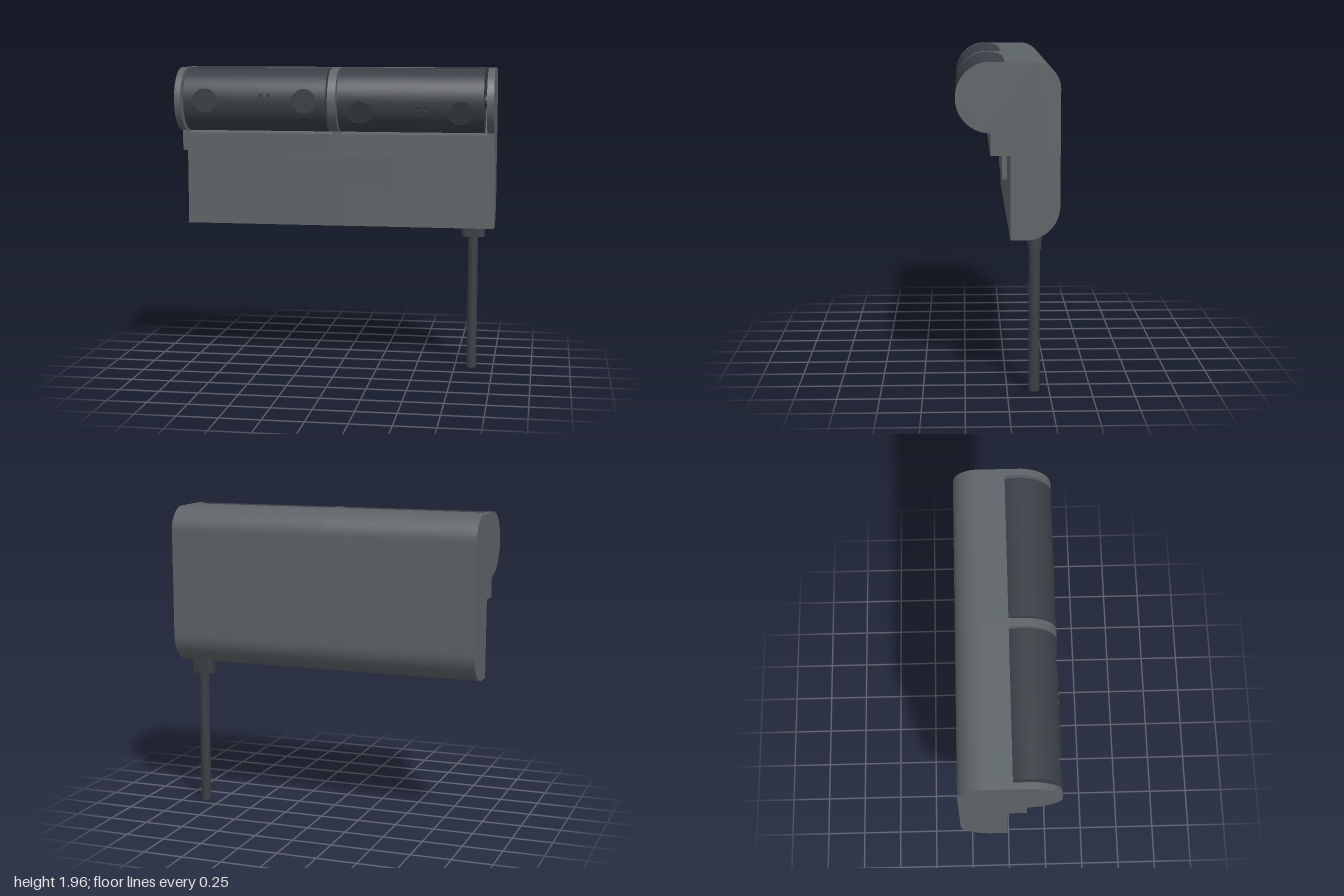
import * as THREE from 'three';
import { toCreasedNormals } from 'three/addons/utils/BufferGeometryUtils.js';

const R = 0.2, AXIS_Y = 1.76, AXIS_Z = 0.1;   // drum radius and axis
const POCKET_R = 0.217;

export function createModel() {
  const casing = new THREE.MeshStandardMaterial({ name: 'casing grey', color: 0x5d6467 });
  const dark = new THREE.MeshStandardMaterial({ name: 'dark grey', color: 0x3a3f45 });
  const model = new THREE.Group();

  const add = (parent, name, geometry, material, x = 0, y = 0, z = 0) => {
    const mesh = new THREE.Mesh(geometry, material);
    mesh.name = name;
    mesh.position.set(x, y, z);
    parent.add(mesh);
    return mesh;
  };

  // Casing side outline, drawn with u = -z; the open one has the drum pocket cut out
  const outline = (open) => {
    const s = new THREE.Shape();
    s.moveTo(open ? -AXIS_Z + Math.sqrt(POCKET_R ** 2 - R ** 2) : -AXIS_Z, 1.96);
    s.lineTo(0.15, 1.96);
    s.absarc(0.15, 1.81, 0.15, Math.PI / 2, 0, true);
    s.absarc(0.1, 1.14, 0.2, 0, -Math.PI / 2, true);
    s.lineTo(0.015, 0.94);
    s.lineTo(0.015, 1.43);
    s.lineTo(-AXIS_Z, 1.43);
    if (open) s.absarc(-AXIS_Z, AXIS_Y, POCKET_R, -Math.PI / 2, Math.asin(R / POCKET_R), false);
    else s.absarc(-AXIS_Z, AXIS_Y, R, -Math.PI / 2, -Math.PI * 1.5, true);
    return s;
  };
  const slab = (name, x0, x1, open) => {
    const g = new THREE.ExtrudeGeometry(outline(open), { depth: x1 - x0, bevelEnabled: false, curveSegments: 32 });
    g.rotateY(Math.PI / 2);
    add(model, name, toCreasedNormals(g, 0.5), casing, x0);
  };
  slab('rightEndCheek', -1, -0.96, false);
  slab('rightCasing', -0.96, -0.027, true);
  slab('centreDivider', -0.027, 0.025, false);
  slab('leftCasing', 0.025, 0.957, true);
  slab('leftEndCheek', 0.957, 1, false);

  add(model, 'frontPlate', new THREE.BoxGeometry(0.67, 0.22, 0.04), casing, 0, 1.3, -0.005);

  // Hinge rod on which both drums turn
  const rod = new THREE.CylinderGeometry(0.04, 0.04, 1.94, 32).rotateZ(Math.PI / 2);
  add(model, 'hingeRod', rod, dark, 0, AXIS_Y, AXIS_Z);

  // Surface through rows of points; 'round' takes normals from the drum axis
  const sheet = (rows, round) => {
    const n = rows[0].length, index = [];
    for (let r = 0; r < rows.length - 1; r++) {
      for (let i = 0; i < n - 1; i++) {
        const a = r * n + i, d = a + n;
        index.push(a, a + 1, d + 1, a, d + 1, d);
      }
    }
    const points = rows.flat();
    const g = new THREE.BufferGeometry().setFromPoints(points);
    g.setIndex(index);
    if (round) {
      const normals = points.flatMap((p) => [0, p.y / R, p.z / R]);
      g.setAttribute('normal', new THREE.Float32BufferAttribute(normals, 3));
    } else g.computeVertexNormals();
    return g;
  };
  const onDrum = (x, y) => new THREE.Vector3(x, y, Math.sqrt(R * R - y * y));

  // Rectangular area of the drum front with a round flat-bottomed recess
  const recess = (drum, name, [x0, x1, y0, y1], cx, cy, r, floorZ) => {
    const corners = [[x0, y0], [x1, y0], [x1, y1], [x0, y1], [x0, y0]];
    const edge = [];
    for (let k = 0; k < 4; k++) {
      for (let i = 0; i < 12; i++) {
        edge.push([0, 1].map((c) => THREE.MathUtils.lerp(corners[k][c], corners[k + 1][c], i / 12)));
      }
    }
    edge.push(corners[4]);
    const rim = edge.map(([x, y]) => {
      const a = Math.atan2(y - cy, x - cx);
      return [cx + r * Math.cos(a), cy + r * Math.sin(a)];
    });
    const rows = [];
    for (let k = 0; k <= 8; k++) {
      rows.push(edge.map(([x, y], i) => onDrum(
        THREE.MathUtils.lerp(x, rim[i][0], k / 8), THREE.MathUtils.lerp(y, rim[i][1], k / 8))));
    }
    add(drum, name + 'Surround', sheet(rows, true), dark);
    const wall = [rim.map(([x, y]) => onDrum(x, y)), rim.map(([x, y]) => new THREE.Vector3(x, y, floorZ))];
    add(drum, name + 'Wall', sheet(wall, false), dark);
    add(drum, name + 'Floor', new THREE.CircleGeometry(r, 48), dark, cx, cy, floorZ);
  };

  // One drum: back shell, end caps, two large recesses and three small holes
  const makeDrum = (name, x, tilt) => {
    const drum = new THREE.Group();
    drum.name = name;
    drum.position.set(x, AXIS_Y, AXIS_Z);
    drum.rotation.x = tilt;
    model.add(drum);
    const half = 0.452, band = 0.1;

    const rows = [];
    for (let i = 0; i <= 60; i++) {
      const t = Math.PI / 6 + (i / 60) * Math.PI * 5 / 3;
      rows.push([-half, half].map((px) => new THREE.Vector3(px, R * Math.sin(t), R * Math.cos(t))));
    }
    add(drum, 'drumShell', sheet(rows, true), dark);

    for (const s of [-1, 1]) {
      const cap = new THREE.CircleGeometry(R, 72).rotateY(s * Math.PI / 2);
      add(drum, 'drumEnd', cap, dark, s * half);
      const cx = s * 0.315;
      recess(drum, 'lens', [cx - 0.1, cx + 0.1, -band, band], cx, 0, 0.075, 0.183);
    }
    // Plain strips between the recessed areas
    for (const [a, b] of [[-half, -0.415], [-0.215, 0.02], [0.12, 0.215], [0.415, half]]) {
      const strip = [];
      for (let i = 0; i <= 12; i++) {
        const y = band * (i / 6 - 1);
        strip.push([onDrum(a, y), onDrum(b, y)]);
      }
      add(drum, 'frontStrip', sheet(strip, true), dark);
    }
    recess(drum, 'upperHole', [0.02, 0.07, 0.006, band], 0.045, 0.032, 0.014, 0.18);
    recess(drum, 'upperHole', [0.07, 0.12, 0.006, band], 0.095, 0.032, 0.014, 0.18);
    recess(drum, 'lowerHole', [0.02, 0.12, -band, 0.006], 0.07, -0.012, 0.007, 0.18);
  };
  makeDrum('rightDrum', -0.489, 0);
  makeDrum('leftDrum', 0.487, 0.37);

  // Cable with its rounded strain relief under the casing
  const w = 0.075, d = 0.04, c = 0.03;
  const relief = new THREE.Shape();
  relief.absarc(w - c, d - c, c, 0, Math.PI / 2);
  relief.absarc(c - w, d - c, c, Math.PI / 2, Math.PI);
  relief.absarc(c - w, c - d, c, Math.PI, Math.PI * 1.5);
  relief.absarc(w - c, c - d, c, Math.PI * 1.5, Math.PI * 2);
  const block = new THREE.ExtrudeGeometry(relief, { depth: 0.12, bevelEnabled: false });
  block.rotateX(-Math.PI / 2);
  add(model, 'strainRelief', toCreasedNormals(block, 0.6), dark, 0.86, 0.87, -0.16);
  add(model, 'cable', new THREE.CylinderGeometry(0.033, 0.033, 0.9, 32), dark, 0.86, 0.45, -0.16);

  return model;
}
